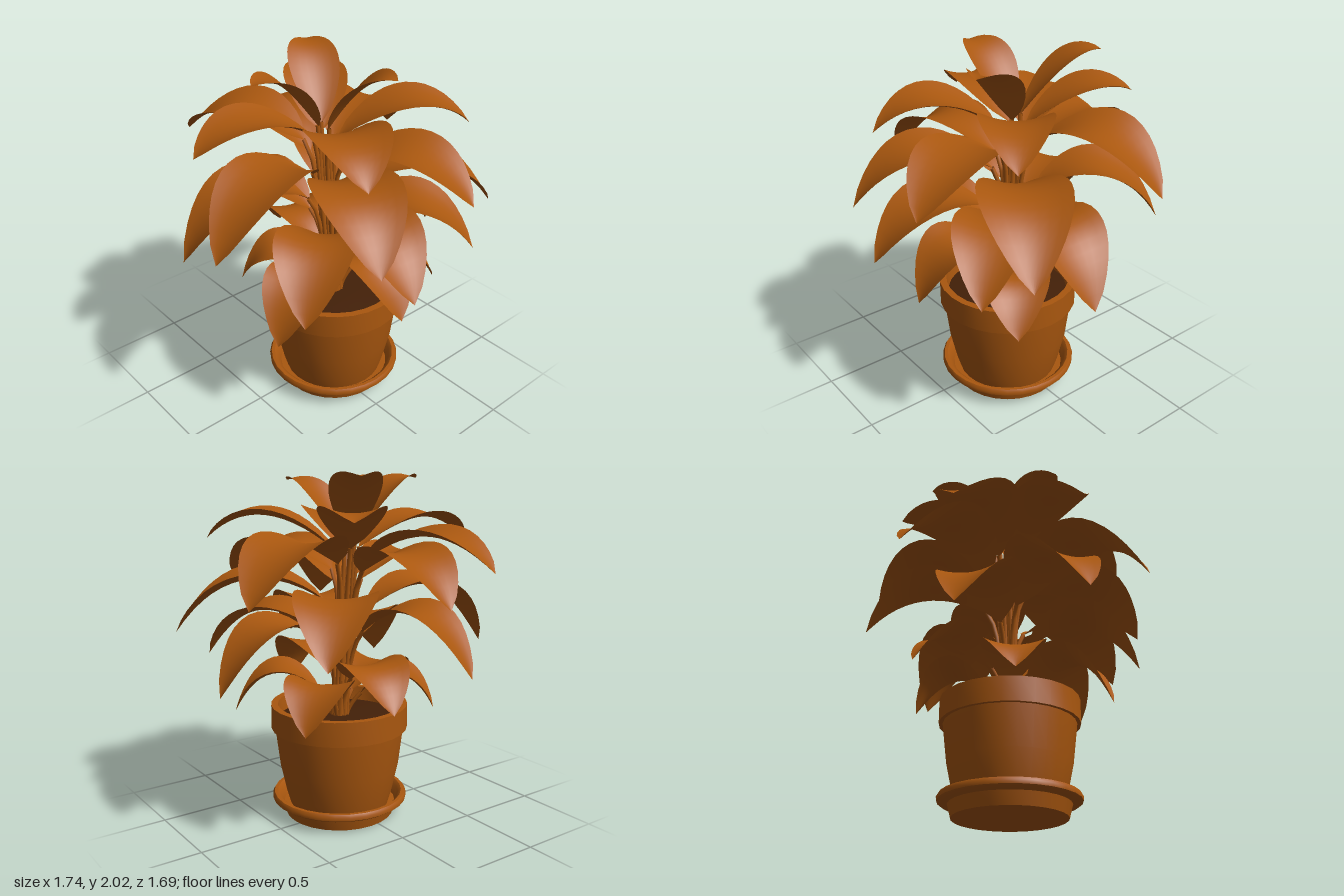
import * as THREE from 'three';
import { toCreasedNormals } from 'three/addons/utils/BufferGeometryUtils.js';

const CX = 0.052, CZ = 0.048; // pot centre

const clay = new THREE.MeshStandardMaterial({ color: 0xa9570f, side: THREE.DoubleSide });
clay.name = 'warm brown';
const earth = new THREE.MeshStandardMaterial({ color: 0x432008 });
earth.name = 'dark soil';

// Leaf tips: x, y, z, height of the blade's middle, width, height of its base, distance of base from axis
const LEAVES = [
  // crown
  [-0.43, 1.98, -0.05, 1.93, 0.27, 1.66, 0.03],
  [0.25, 2.0, -0.44, 1.94, 0.28, 1.66, 0.03],
  [0.2, 1.97, 0.36, 1.91, 0.29, 1.64, 0.04],
  // upper ring
  [0.38, 1.78, -0.56, 1.8, 0.36, 1.6, 0.06],
  [-0.73, 1.63, -0.16, 1.76, 0.38, 1.6, 0.06],
  [0.67, 1.65, 0.47, 1.78, 0.38, 1.58, 0.08],
  [-0.3, 1.62, 0.68, 1.77, 0.43, 1.58, 0.08],
  // second ring
  [0.85, 1.36, -0.34, 1.65, 0.48],
  [-0.36, 1.5, -0.79, 1.68, 0.46],
  [0.0, 1.35, -0.85, 1.6, 0.44],
  [-0.87, 1.22, 0.2, 1.54, 0.42],
  [0.33, 1.38, 0.82, 1.6, 0.44],
  [-0.33, 1.21, 0.82, 1.49, 0.47],
  // third ring
  [-0.8, 1.0, -0.24, 1.36, 0.47],
  [0.86, 1.12, 0.52, 1.42, 0.48],
  [0.58, 1.07, -0.62, 1.36, 0.44],
  [-0.1, 0.97, 0.84, 1.25, 0.44],
  [-0.3, 0.92, -0.71, 1.25, 0.44],
  // fourth ring
  [0.82, 0.82, 0.07, 1.17, 0.46],
  [-0.55, 0.84, 0.5, 1.15, 0.44],
  [0.6, 0.94, 0.64, 1.22, 0.43],
  // lowest ring
  [-0.54, 0.57, 0.25, 0.86, 0.4],
  [0.02, 0.7, 0.65, 0.99, 0.4],
  [0.57, 0.63, 0.38, 0.87, 0.38],
  [0.5, 0.63, -0.28, 0.86, 0.38],
  [0.15, 0.77, -0.6, 0.98, 0.38],
  [-0.36, 0.66, -0.33, 0.87, 0.36],
];

function lathe(name, points, material = clay) {
  const profile = points.map(([r, y]) => new THREE.Vector2(r, y));
  const mesh = new THREE.Mesh(toCreasedNormals(new THREE.LatheGeometry(profile, 28), 0.7), material);
  mesh.name = name;
  mesh.position.set(CX, 0, CZ);
  return mesh;
}

// Slightly leaning centre line of the plant
function axisAt(y) {
  const t = THREE.MathUtils.clamp((y - 0.6) / 1.1, 0, 1);
  return new THREE.Vector3(CX - 0.03 * t, y, CZ - 0.08 * t);
}

// Arched, channelled blade swept along a curve
function bladeGeometry(curve, side, width) {
  const rows = 14, cols = 8, pos = [], index = [];
  for (let i = 0; i <= rows; i++) {
    const t = i / rows;
    const p = curve.getPoint(t);
    const up = curve.getTangent(t).cross(side).normalize();
    const half = (width / 2) * Math.pow(Math.max(0, Math.sin(Math.PI * Math.pow(t, 0.92))), 0.75) + 0.008 * (1 - t);
    for (let j = 0; j <= cols; j++) {
      const s = (j / cols) * 2 - 1;
      const v = p.clone().addScaledVector(side, s * half).addScaledVector(up, 0.22 * half * s * s);
      pos.push(v.x, v.y, v.z);
      if (i < rows && j < cols) {
        const a = i * (cols + 1) + j, b = a + cols + 1;
        index.push(a, b, a + 1, b, b + 1, a + 1);
      }
    }
  }
  const geo = new THREE.BufferGeometry();
  geo.setAttribute('position', new THREE.Float32BufferAttribute(pos, 3));
  geo.setIndex(index);
  geo.computeVertexNormals();
  return geo;
}

function makeLeaf([x, y, z, peak, width, baseY = peak - 0.13, offset = 0.12]) {
  const leaf = new THREE.Group();
  leaf.name = 'leaf';
  const tip = new THREE.Vector3(x, y, z);
  const axis = axisAt(baseY);
  const dir = new THREE.Vector3(x - axis.x, 0, z - axis.z).normalize();
  const side = new THREE.Vector3(0, 1, 0).cross(dir);
  const base = axis.clone().addScaledVector(dir, offset);

  // control point puts the middle of the blade at its peak height
  const control = base.clone().lerp(tip, 0.58);
  control.y = 2 * peak - 0.5 * (baseY + y);
  const blade = new THREE.Mesh(
    bladeGeometry(new THREE.QuadraticBezierCurve3(base, control, tip), side, width), clay);
  blade.name = 'leafBlade';

  // stalk rises from the soil beside the axis, then bends out
  const root = new THREE.Vector3(CX, 0.55, CZ).addScaledVector(dir, 0.05);
  const bend = axisAt(baseY - 0.12).addScaledVector(dir, 0.02);
  const stalk = new THREE.Mesh(
    new THREE.TubeGeometry(new THREE.QuadraticBezierCurve3(root, bend, base), 8, 0.013, 6), clay);
  stalk.name = 'leafStalk';
  leaf.add(blade, stalk);
  return leaf;
}

export function createModel() {
  const model = new THREE.Group();
  model.name = 'pottedPlant';

  // Saucer with a rolled lip
  model.add(lathe('saucer', [
    [0, 0], [0.325, 0], [0.345, 0.075], [0.385, 0.08], [0.403, 0.092], [0.405, 0.112],
    [0.395, 0.128], [0.375, 0.128], [0.355, 0.11], [0.335, 0.06], [0, 0.05],
  ]));

  // Tapered pot with a thick collar
  model.add(lathe('pot', [
    [0, 0.052], [0.295, 0.052], [0.318, 0.13], [0.355, 0.3], [0.383, 0.532], [0.405, 0.532],
    [0.405, 0.675], [0.365, 0.675], [0.35, 0.56],
  ]));
  model.add(lathe('soil', [[0.355, 0.59], [0.2, 0.6], [0, 0.61]], earth));

  // Foliage
  const foliage = new THREE.Group();
  foliage.name = 'foliage';
  LEAVES.forEach((spec) => foliage.add(makeLeaf(spec)));
  model.add(foliage);
  return model;
}
